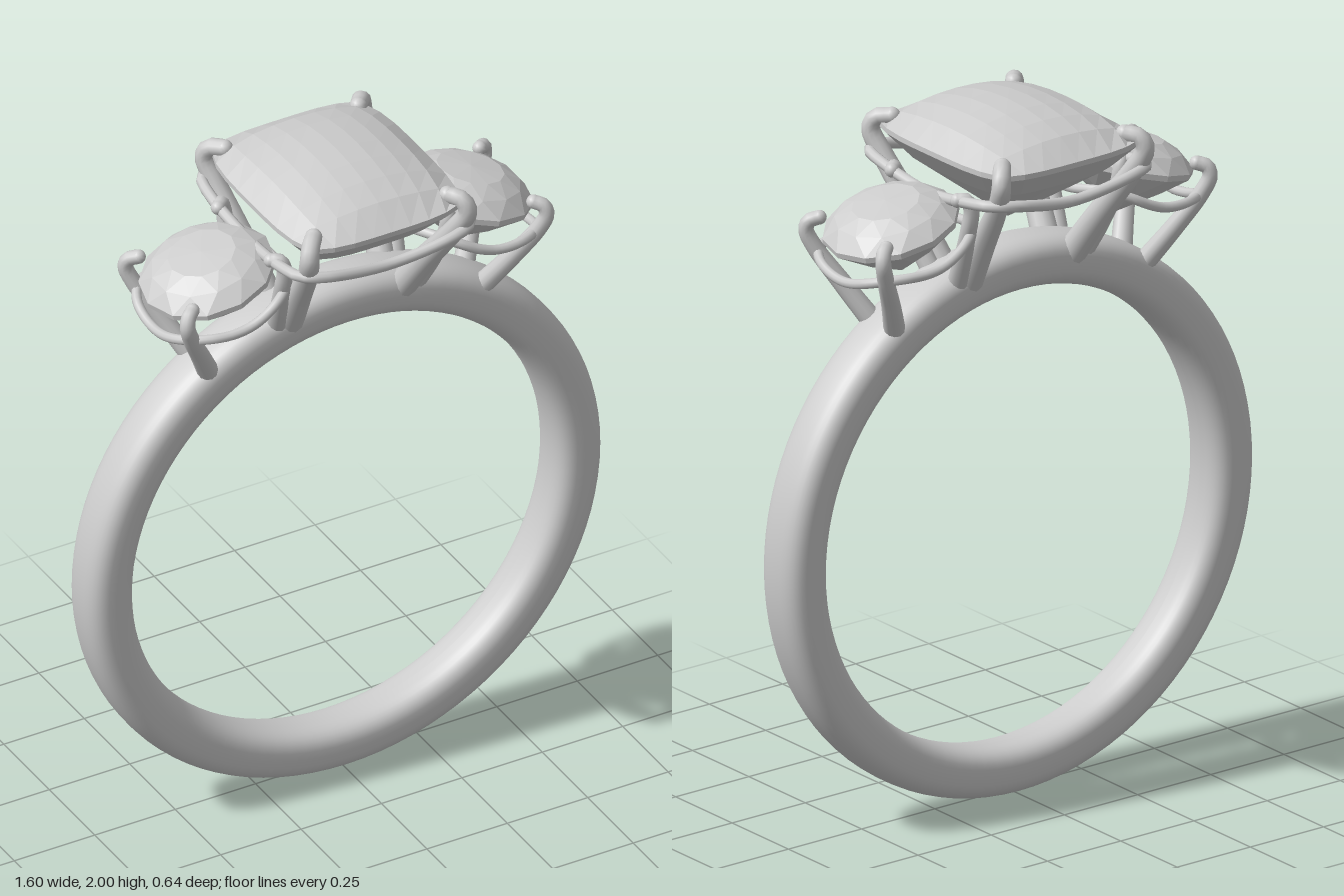
import * as THREE from 'three';

const silver = new THREE.MeshStandardMaterial({ color: 0xcccccc });
const V = (p) => new THREE.Vector3(...p);

function mesh(name, geometry, parent) {
  const m = new THREE.Mesh(geometry, silver);
  m.name = name;
  parent.add(m);
  return m;
}

// Faceted geometry: unshared corners give flat normals
function faceted(triangles) {
  const g = new THREE.BufferGeometry();
  g.setAttribute('position', new THREE.Float32BufferAttribute(triangles.flat(2), 3));
  g.computeVertexNormals();
  return g;
}

// Gem surface from rings [scale, y, twist in half steps], listed from top to bottom
function ringFacets(n, outline, rings) {
  const tris = [];
  const at = ([s, y, t], i) => {
    const [x, z] = outline((((i + t / 2) / n) % 1 + 1) % 1);
    return [x * s, y, z * s];
  };
  for (let j = 0; j < rings.length - 1; j++) {
    const p = rings[j], q = rings[j + 1];
    for (let i = 0; i < n; i++) {
      const A = at(p, i), B = at(p, i + 1), C = at(q, i), D = at(q, i + 1);
      if (p[2] > q[2]) tris.push([A, D, C], [A, B, D]);
      else tris.push([A, B, C], [B, D, C]);
    }
  }
  return tris;
}

// Wire that tapers from r0 to r1, with a rounded tip
function prong(points, r0, r1, parent, name) {
  const path = new THREE.CatmullRomCurve3(points.map(V));
  const seg = 28, sides = 12;
  const g = new THREE.TubeGeometry(path, seg, 1, sides);
  const pos = g.attributes.position, v = new THREE.Vector3();
  for (let i = 0; i < pos.count; i++) {
    const t = Math.floor(i / (sides + 1)) / seg;
    const c = path.getPointAt(t);
    v.fromBufferAttribute(pos, i).sub(c).multiplyScalar(r0 + (r1 - r0) * t).add(c);
    pos.setXYZ(i, v.x, v.y, v.z);
  }
  mesh(name, g, parent);
  mesh(name + 'Tip', new THREE.SphereGeometry(r1, 12, 8), parent).position.copy(path.getPoint(1));
}

function rail(points, r, parent, name) {
  const path = new THREE.CatmullRomCurve3(points.map(V), true);
  mesh(name, new THREE.TubeGeometry(path, 72, r, 10, true), parent);
}

// Rounded band, slightly narrower toward the bottom
function band(parent) {
  const profile = [];
  const pw = (c) => Math.sign(c) * Math.pow(Math.abs(c), 0.72);
  for (let i = 0; i <= 32; i++) {
    const a = -Math.PI + (i / 32) * Math.PI * 2;
    profile.push(new THREE.Vector2(0.728 + 0.072 * pw(Math.cos(a)), 0.088 * pw(Math.sin(a))));
  }
  const g = new THREE.LatheGeometry(profile, 96);
  g.rotateX(Math.PI / 2);
  const pos = g.attributes.position;
  for (let i = 0; i < pos.count; i++) {
    pos.setZ(i, pos.getZ(i) * (0.94 + 0.09 * pos.getY(i)));
  }
  g.translate(0, 0.8, 0);
  mesh('band', g, parent);
}

// Cushion-cut centre stone: chequered dome above, pointed pavilion below
function centreStone(parent) {
  const N = 8;
  const cushion = (u, v) => [0.265 * u * (1 - 0.13 * v ** 4), 0.31 * v * (1 - 0.1 * u ** 4)];
  const outline = (s) => {
    const k = Math.floor(s * 4), f = (s * 4 - k) * 2 - 1;
    return cushion(...[[1, f], [-f, 1], [-1, -f], [f, -1]][k]);
  };
  const at = (i, j) => {
    const u = (i / N) * 2 - 1, v = (j / N) * 2 - 1;
    const [x, z] = cushion(u, v);
    return [x, 1.91 + 0.09 * Math.pow((1 - u * u) * (1 - v * v), 0.7), z];
  };
  const tris = [];
  for (let i = 0; i < N; i++) {
    for (let j = 0; j < N; j++) {
      const A = at(i, j), B = at(i, j + 1), C = at(i + 1, j), D = at(i + 1, j + 1);
      tris.push([A, B, C], [B, D, C]);
    }
  }
  mesh('centreStoneCrown', faceted(tris), parent);
  const rings = [[1, 1.91, 0], [1, 1.895, 0], [0.78, 1.825, 0], [0, 1.66, 0]];
  mesh('centreStonePavilion', faceted(ringFacets(4 * N, outline, rings)), parent);
}

function centreSetting(parent) {
  for (const sx of [-1, 1]) {
    for (const sz of [-1, 1]) {
      prong([
        [0.175, 1.53, 0.055], [0.2, 1.67, 0.15], [0.232, 1.82, 0.258],
        [0.246, 1.885, 0.29], [0.236, 1.917, 0.278], [0.208, 1.925, 0.245],
      ].map(([x, y, z]) => [x * sx, y, z * sz]), 0.04, 0.024, parent, 'centreProng');
    }
  }
  // Gallery wire dips midway between the prongs
  const pts = [];
  for (const [a, b] of [[1, 1], [-1, 1], [-1, -1], [1, -1]]) {
    const side = [[a * 0.278, 1.82, b * 0.2], [a * 0.262, 1.83, b * 0.275], [a * 0.2, 1.825, b * 0.302]];
    if (a * b < 0) side.reverse();
    pts.push(...side);
    pts.push(a * b > 0 ? [0, 1.792, b * 0.29] : [a * 0.272, 1.792, 0]);
  }
  rail(pts, 0.016, parent, 'centreRail');
}

// Round side stone with its own prongs and wire
function sideSetting(name) {
  const side = new THREE.Group();
  side.name = name;
  const seat = new THREE.Group();
  seat.name = 'sideSeat';
  seat.position.set(0.4, 1.73, 0);
  seat.rotation.z = -0.26;
  side.add(seat);

  const circle = (s) => [0.19 * Math.cos(s * Math.PI * 2), 0.19 * Math.sin(s * Math.PI * 2)];
  mesh('sideStone', faceted(ringFacets(12, circle, [
    [0, 0.076, 0], [0.5, 0.07, 0], [0.78, 0.046, 1], [1, 0.008, 0],
    [1, -0.008, 0], [0.6, -0.07, 1], [0, -0.148, 1],
  ])), seat);

  const wire = [];
  for (let i = 0; i < 24; i++) {
    const a = (i / 24) * Math.PI * 2;
    const r = 0.195 + 0.018 * (1 - Math.cos(4 * a)) / 2;
    wire.push([r * Math.cos(a), -0.066 - 0.012 * Math.cos(4 * a), r * Math.sin(a)]);
  }
  rail(wire, 0.014, seat, 'sideRail');

  for (const s of [-1, 1]) {
    const flip = (pts) => pts.map(([x, y, z]) => [x, y, z * s]);
    prong(flip([
      [0.43, 1.45, 0.055], [0.485, 1.55, 0.11], [0.54, 1.65, 0.158],
      [0.558, 1.7, 0.172], [0.552, 1.725, 0.165], [0.53, 1.735, 0.148],
    ]), 0.03, 0.02, side, 'outerSideProng');
    prong(flip([
      [0.215, 1.53, 0.055], [0.236, 1.63, 0.11], [0.252, 1.73, 0.155],
      [0.255, 1.79, 0.168], [0.265, 1.815, 0.162], [0.285, 1.815, 0.145],
    ]), 0.03, 0.02, side, 'innerSideProng');
  }
  return side;
}

export function createModel() {
  const ring = new THREE.Group();
  ring.name = 'ring';
  band(ring);
  centreStone(ring);
  centreSetting(ring);
  const left = sideSetting('leftSetting');
  const right = sideSetting('rightSetting');
  right.rotation.y = Math.PI;
  ring.add(left, right);
  return ring;
}
